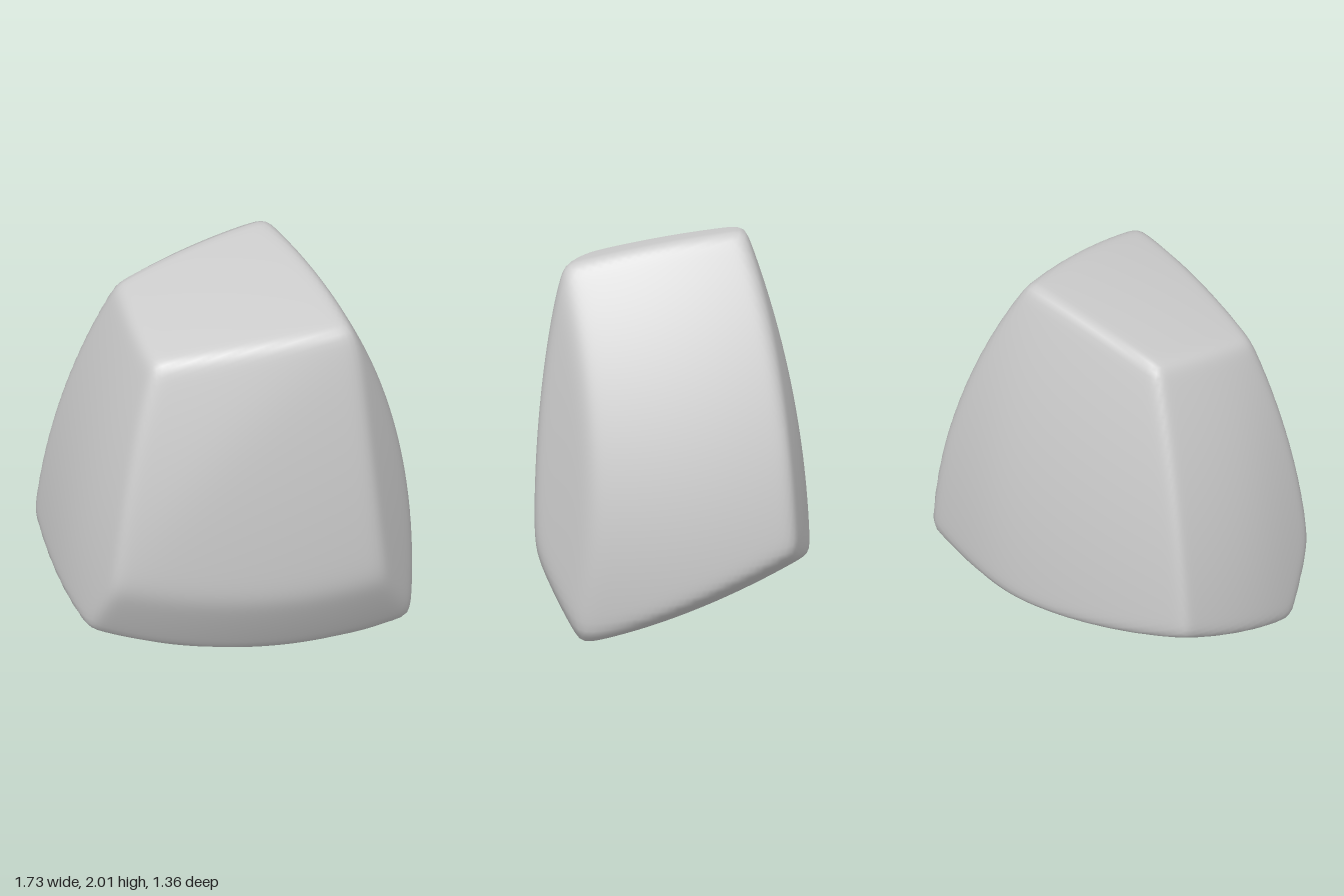
import * as THREE from 'three';
import { mergeVertices } from 'three/addons/utils/BufferGeometryUtils.js';

const v = (x, y, z) => new THREE.Vector3(x, y, z);
const CORE = v(0, 1, 0);

// A gently domed facet: the sphere of radius R through three points, bulging away from the core.
function facet(a, b, c, R) {
  const ab = b.clone().sub(a), ac = c.clone().sub(a);
  const n = ab.clone().cross(ac);
  const centre = n.clone().cross(ab).multiplyScalar(ac.lengthSq())
    .add(ac.clone().cross(n).multiplyScalar(ab.lengthSq()))
    .divideScalar(2 * n.lengthSq());
  const rho = centre.length();
  n.normalize();
  if (n.dot(a.clone().sub(CORE)) < 0) n.negate();
  centre.add(a).addScaledVector(n, -Math.sqrt(Math.max(0, R * R - rho * rho)));
  return { offset: centre.sub(CORE), R };
}

// Distance from the core to a facet along direction d
function reach({ offset, R }, d) {
  const k = d.dot(offset);
  return k + Math.sqrt(Math.max(0, k * k - offset.lengthSq() + R * R));
}

export function createModel() {
  // Main corners of the stone
  const topFL = v(-0.54, 1.75, 0.325), topFR = v(0.46, 1.85, 0.555);
  const topBR = v(0.37, 2.015, -0.37), topBL = v(-0.44, 1.935, -0.29);
  const kneeL = v(-0.79, 0.6, 0.475), kneeR = v(0.565, 0.44, 0.685);
  const footFR = v(0.855, 0.02, 0.42), footBR = v(0.815, 0.47, -0.605);
  const footL = v(-0.84, 0.22, 0.4), heel = v(0.2, 0.36, -0.68);
  const cheekR = v(0.805, 1, 0.1), hipR = v(0.885, 0.4, 0.17);
  const spine = v(0.22, 0.42, -0.69), backL = v(-0.81, 0.45, -0.49);

  const facets = [
    facet(topFL, topFR, topBR, 6),                  // top
    facet(topFR, kneeL, kneeR, 6),                  // front
    facet(topFL, topFR, kneeL, 5),                  // front, upper left
    facet(kneeL, kneeR, v(0.2, -0.01, 0.43), 3.5),  // lower front
    facet(topFR, kneeR, footFR, 12),                // front right corner
    facet(topBR, topFR, cheekR, 3),                 // right side, upper
    facet(cheekR, hipR, footBR, 4),                 // right side, lower
    facet(topBR, cheekR, footBR, 4),                // right side, rear
    facet(topFL, topBL, v(-0.88, 0.45, 0), 4),      // left side
    facet(topFL, kneeL, v(-0.86, 0.45, 0.22), 5),   // front left corner
    facet(topBL, topBR, spine, 5),                  // back
    facet(topBL, spine, backL, 5),                  // back, left part
    facet(topBR, spine, footBR, 5),                 // back, right part
    facet(footFR, footL, heel, 3.3),                // underside
    facet(footFR, heel, footBR, 5),                 // underside, right part
  ];

  // Blend the facets with a soft minimum so every edge is worn round
  const sphere = new THREE.IcosahedronGeometry(1, 40);
  sphere.deleteAttribute('normal');
  sphere.deleteAttribute('uv');
  const geo = mergeVertices(sphere, 1e-5);
  const pos = geo.attributes.position, d = v(0, 0, 0), P = 48;
  for (let i = 0; i < pos.count; i++) {
    d.fromBufferAttribute(pos, i).normalize();
    const sum = facets.reduce((s, f) => s + Math.pow(reach(f, d), -P), 0);
    d.multiplyScalar(Math.pow(sum, -1 / P)).add(CORE);
    pos.setXYZ(i, d.x, d.y, d.z);
  }
  geo.computeVertexNormals();

  const stone = new THREE.Mesh(geo, new THREE.MeshStandardMaterial({ color: 0xcccccc }));
  stone.name = 'stone';
  const group = new THREE.Group();
  group.name = 'boulder';
  group.add(stone);
  return group;
}
